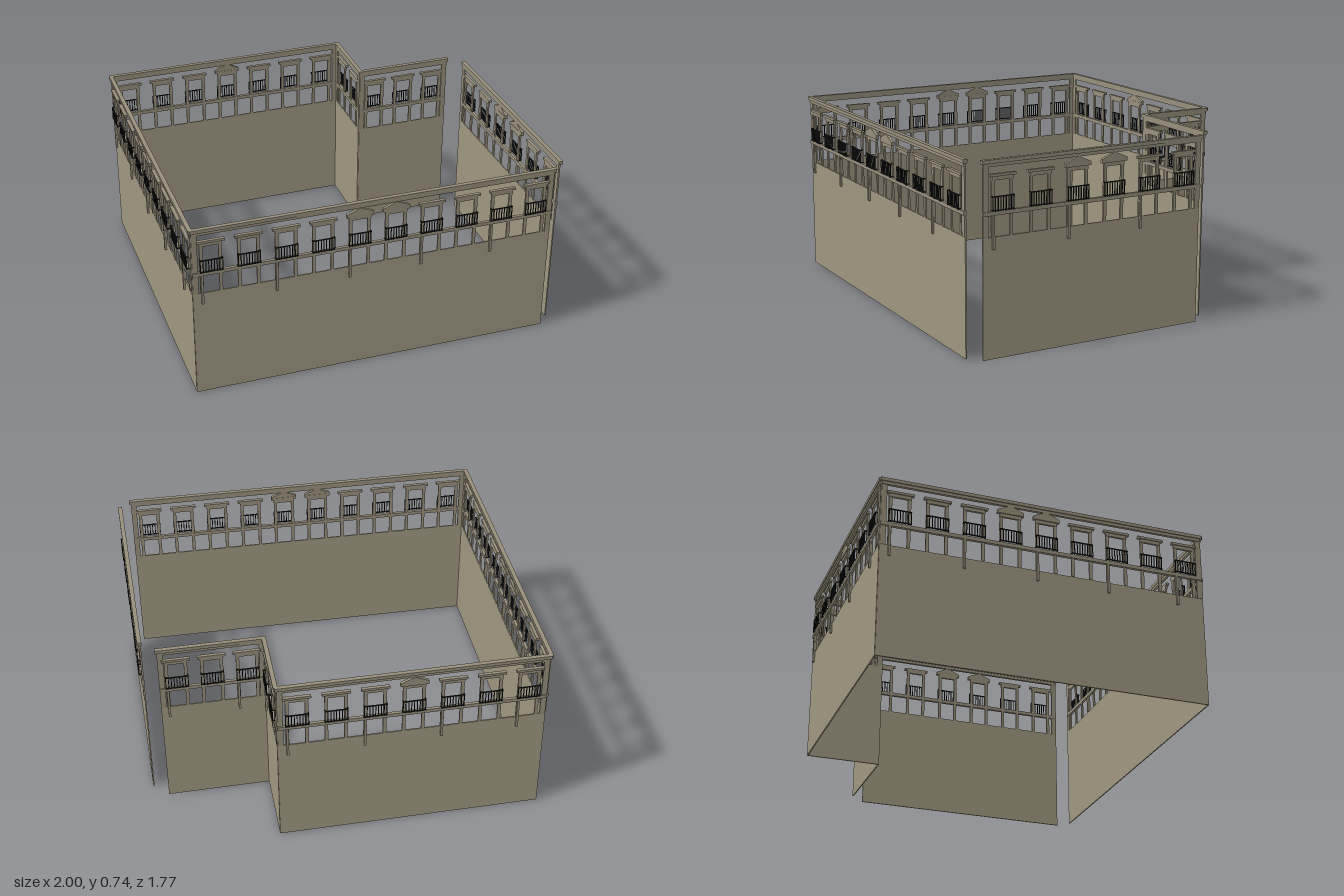
import * as THREE from 'three';

const stone = new THREE.MeshStandardMaterial({ color: 0x9e9680 });
stone.name = 'stone wall';
const trim = new THREE.MeshStandardMaterial({ color: 0x978e7b });
trim.name = 'stone trim';
const iron = new THREE.MeshStandardMaterial({ color: 0x1c1c1c });
iron.name = 'dark iron';

// Box given by its centre in x, its bottom and top, and its back and front
function box(parent, name, mat, x, w, y0, y1, z0, z1) {
  const mesh = new THREE.Mesh(new THREE.BoxGeometry(w, y1 - y0, z1 - z0), mat);
  mesh.position.set(x, (y0 + y1) / 2, (z0 + z1) / 2);
  mesh.name = name;
  parent.add(mesh);
  return mesh;
}

// Triangular gable on top of a window hood
function pediment(parent) {
  const s = new THREE.Shape();
  s.moveTo(-0.054, 0);
  s.lineTo(0.054, 0);
  s.lineTo(0.054, 0.006);
  s.lineTo(0, 0.03);
  s.lineTo(-0.054, 0.006);
  s.closePath();
  const mesh = new THREE.Mesh(
    new THREE.ExtrudeGeometry(s, { depth: 0.012, bevelEnabled: false }), trim);
  mesh.position.set(0, 0.685, -0.002);
  mesh.name = 'pediment';
  parent.add(mesh);
}

// Balcony with thin uprights, returning to the wall at both sides
function balcony(parent) {
  const g = new THREE.Group();
  g.name = 'balcony';
  for (const y of [0.552, 0.602]) {
    box(g, 'rail', iron, 0, 0.09, y, y + 0.004, 0.01, 0.014);
    for (const s of [-1, 1]) box(g, 'sideRail', iron, s * 0.043, 0.004, y, y + 0.004, 0, 0.014);
  }
  const bars = 8;
  for (let i = 0; i <= bars; i++) {
    box(g, 'baluster', iron, -0.043 + 0.086 * i / bars, 0.003, 0.55, 0.604, 0.0105, 0.0135);
  }
  parent.add(g);
}

// Window surround: two tall jambs, lintel, hood and balcony
function makeWindow(hasPediment, hasPipe) {
  const g = new THREE.Group();
  g.name = 'window';
  for (const s of [-1, 1]) {
    box(g, 'jamb', trim, s * 0.037, 0.013, 0.455, 0.672, -0.003, 0.004);
  }
  box(g, 'lintel', trim, 0, 0.088, 0.662, 0.676, -0.003, 0.006);
  box(g, 'hood', trim, 0, 0.108, 0.676, 0.686, -0.003, 0.01);
  if (hasPediment) pediment(g);
  if (hasPipe) box(g, 'downpipe', trim, -0.037, 0.009, 0.41, 0.537, 0.002, 0.01);
  balcony(g);
  return g;
}

// One facade from its left end to its right end, seen from outside
function makeFacade({ name, from, to, count, gables }) {
  const dx = to[0] - from[0], dz = to[1] - from[1];
  const len = Math.hypot(dx, dz);
  const g = new THREE.Group();
  g.name = name;
  g.position.set((from[0] + to[0]) / 2, 0, (from[1] + to[1]) / 2);
  g.rotation.y = Math.atan2(-dz, dx);

  box(g, 'lowerWall', stone, 0, len, 0, 0.455, -0.003, 0.002);
  box(g, 'stringCourse', trim, 0, len, 0.535, 0.55, -0.004, 0.008);
  box(g, 'corniceBase', trim, 0, len, 0.712, 0.724, -0.004, 0.007);
  box(g, 'corniceTop', trim, 0, len + 0.012, 0.724, 0.738, -0.006, 0.011);
  for (const s of [-1, 1]) {
    box(g, 'endPilaster', trim, s * (len / 2 - 0.011), 0.022, 0.455, 0.712, -0.003, 0.004);
  }
  for (let i = 0; i < count; i++) {
    const w = makeWindow(gables.includes(i), i % 2 === 0);
    w.position.x = ((i + 0.5) / count - 0.5) * len;
    g.add(w);
  }
  return g;
}

export function createModel() {
  const model = new THREE.Group();
  model.name = 'courtyardFacades';
  const A = [-0.05, 0.874], B = [0.984, -0.155], H = [0.984, -0.218], G = [0.315, -0.872];
  const F = [0.235, -0.872], E = [-0.05, -0.58], D = [-0.265, -0.793], C = [-0.988, -0.055];
  const facades = [
    { name: 'frontLeftFacade', from: A, to: B, count: 10, gables: [4, 5] },
    { name: 'backLeftFacade', from: H, to: G, count: 6, gables: [2, 3] },
    { name: 'recessLongFacade', from: F, to: E, count: 3, gables: [] },
    { name: 'recessShortFacade', from: E, to: D, count: 2, gables: [] },
    { name: 'backRightFacade', from: D, to: C, count: 7, gables: [3] },
    { name: 'frontRightFacade', from: C, to: A, count: 9, gables: [3, 4] },
  ];
  for (const f of facades) model.add(makeFacade(f));
  return model;
}
